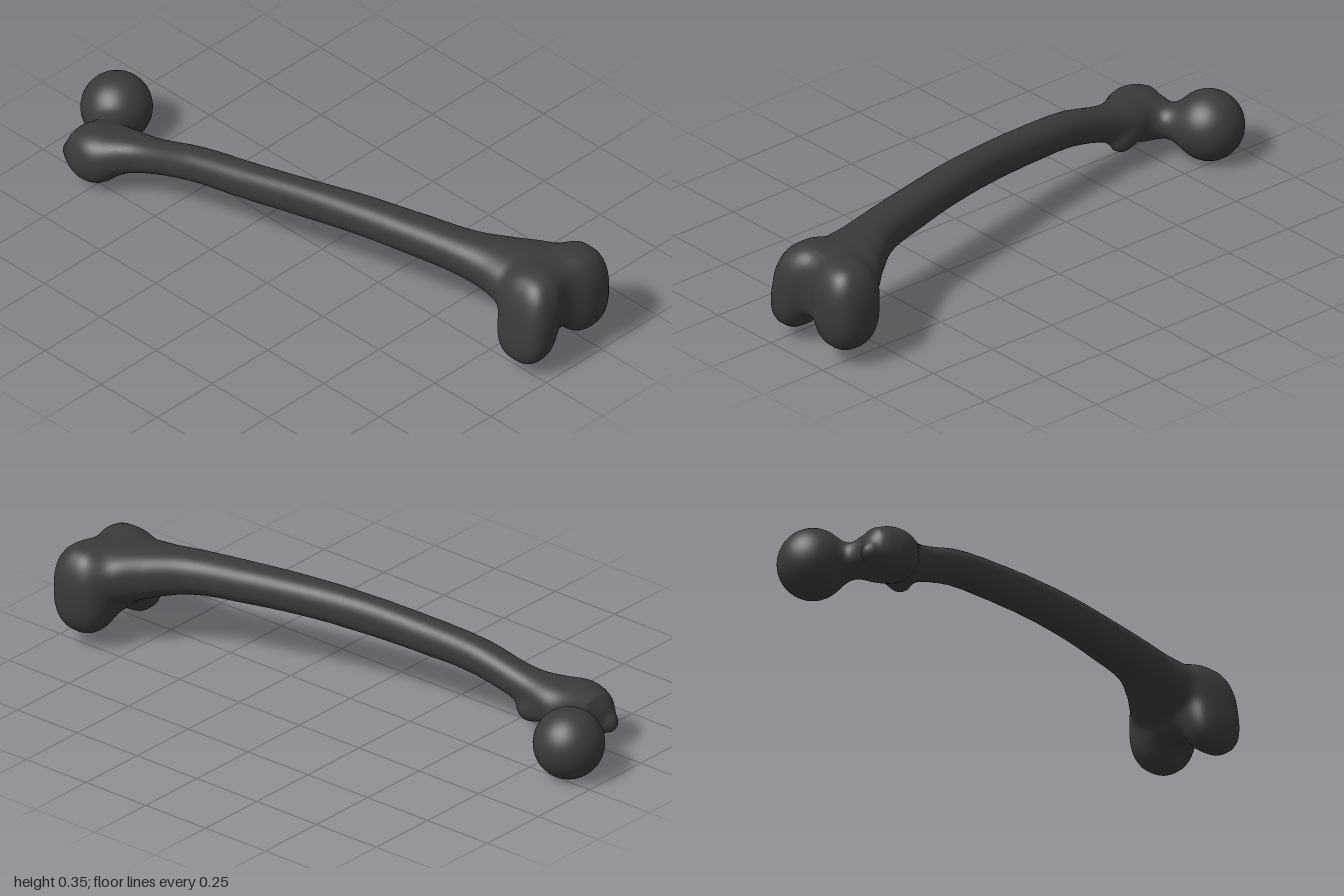
import * as THREE from 'three';

// Shaft sections: z, then left, right, bottom and top limits
const SECTIONS = [
  [-0.82, -0.29, -0.18, 0.07, 0.18],
  [-0.76, -0.32, -0.14, 0.045, 0.203],
  [-0.70, -0.31, -0.125, 0.06, 0.21],
  [-0.60, -0.255, -0.13, 0.10, 0.222],
  [-0.40, -0.222, -0.11, 0.16, 0.275],
  [-0.20, -0.19, -0.08, 0.182, 0.302],
  [0.00, -0.15, -0.04, 0.20, 0.325],
  [0.20, -0.11, 0.015, 0.215, 0.34],
  [0.40, -0.067, 0.07, 0.215, 0.345],
  [0.60, -0.025, 0.135, 0.205, 0.346],
  [0.70, -0.01, 0.205, 0.182, 0.346],
  [0.80, -0.01, 0.28, 0.15, 0.345],
  [0.90, 0.01, 0.27, 0.15, 0.335],
];
const limits = new THREE.CubicInterpolant(
  SECTIONS.map((s) => s[0]), SECTIONS.flatMap((s) => s.slice(1)), 4);

const hyp = (p, ...v) => v.reduce((sum, a) => sum + Math.abs(a) ** p, 0) ** (1 / p);

// Smooth union of two distances
function blend(a, b, k) {
  const h = Math.max(k - Math.abs(a - b), 0) / k;
  return Math.min(a, b) - h * h * k * 0.25;
}

// Rounded block: superellipsoid with an optional sideways lean
function blob(x, y, z, c, r, p = 2, lean = 0) {
  const dy = y - c[1];
  return (hyp(p, (x - c[0] - lean * dy) / r[0], dy / r[1], (z - c[2]) / r[2]) - 1) * Math.min(...r);
}

// Tapered round bar from a to b
function bar(x, y, z, a, b, ra, rb) {
  const d = [b[0] - a[0], b[1] - a[1], b[2] - a[2]];
  const q = [x - a[0], y - a[1], z - a[2]];
  const dot = q[0] * d[0] + q[1] * d[1] + q[2] * d[2];
  const t = THREE.MathUtils.clamp(dot / (d[0] ** 2 + d[1] ** 2 + d[2] ** 2), 0, 1);
  return Math.hypot(q[0] - d[0] * t, q[1] - d[1] * t, q[2] - d[2] * t) - ra + (ra - rb) * t;
}

function shaft(x, y, z) {
  const [x0, x1, y0, y1] = limits.evaluate(THREE.MathUtils.clamp(z, -0.82, 0.9));
  const rx = (x1 - x0) / 2, ry = (y1 - y0) / 2;
  const side = (hyp(2.3, (x - x0 - rx) / rx, (y - y0 - ry) / ry) - 1) * Math.min(rx, ry);
  return Math.max(side, -0.82 - z, z - 0.9);
}

// Signed distance of the whole bone, negative inside
function bone(x, y, z) {
  let d = shaft(x, y, z);
  if (z < -0.4) {
    // greater trochanter and its tip
    d = blend(d, blob(x, y, z, [-0.262, 0.112, -0.765], [0.074, 0.088, 0.095], 2.2), 0.03);
    d = blend(d, bar(x, y, z, [-0.27, 0.1, -0.78], [-0.268, 0.09, -0.85], 0.06, 0.032), 0.02);
    // lesser trochanter
    d = blend(d, blob(x, y, z, [-0.148, 0.1, -0.62], [0.026, 0.03, 0.045]), 0.03);
    // neck
    d = blend(d, bar(x, y, z, [-0.22, 0.122, -0.765], [-0.05, 0.12, -0.845], 0.06, 0.058), 0.04);
    // hollow behind the neck
    d = -blend(-d, blob(x, y, z, [-0.2, 0.02, -0.845], [0.04, 0.045, 0.045]), 0.04);
    // ball head
    d = blend(d, blob(x, y, z, [-0.035, 0.118, -0.884], [0.116, 0.117, 0.115]), 0.03);
  }
  if (z > 0.5) {
    // bridge between the condyles
    d = blend(d, blob(x, y, z, [0.13, 0.225, 0.87], [0.13, 0.122, 0.098], 2.8), 0.02);
    // lateral and medial condyles
    d = blend(d, blob(x, y, z, [0.032, 0.19, 0.892], [0.075, 0.15, 0.101], 2.7, 0.17), 0.025);
    d = blend(d, blob(x, y, z, [0.243, 0.2, 0.893], [0.096, 0.15, 0.101], 2.5), 0.025);
  }
  return d;
}

// Skin the bone on a regular grid: one vertex per crossed cell, one quad per crossed edge
function skin() {
  const cell = 0.0125, origin = [-0.375, -0.0375, -1.03], n = [61, 34, 166];
  const step = [1, n[0], n[0] * n[1]];
  const at = (i, a) => origin[a] + i * cell;
  const field = new Float32Array(n[0] * n[1] * n[2]);
  const eachCell = (from, visit) => {
    for (let k = from; k < n[2] - 1; k++)
      for (let j = from; j < n[1] - 1; j++)
        for (let i = from; i < n[0] - 1; i++) visit(i, j, k, i + j * step[1] + k * step[2]);
  };
  field.fill(1);
  eachCell(0, (i, j, k, id) => { field[id] = bone(at(i, 0), at(j, 1), at(k, 2)); });

  const positions = [], normals = [], vertexOf = new Int32Array(field.length).fill(-1);
  const corner = (c) => [c & 1, (c >> 1) & 1, c >> 2];
  eachCell(0, (i, j, k, id) => {
    const sum = [0, 0, 0];
    let count = 0;
    for (let c = 0; c < 8; c++)
      for (let a = 0; a < 3; a++) {
        const o = corner(c);
        if (o[a]) continue;
        const p = id + o[0] + o[1] * step[1] + o[2] * step[2];
        const f0 = field[p], f1 = field[p + step[a]];
        if ((f0 < 0) === (f1 < 0)) continue;
        o[a] = f0 / (f0 - f1);
        o.forEach((v, axis) => { sum[axis] += v; });
        count++;
      }
    if (!count) return;
    vertexOf[id] = positions.length / 3;
    const [x, y, z] = [i, j, k].map((v, a) => at(v + sum[a] / count, a));
    positions.push(x, y, z);
    const e = 0.006;
    const normal = new THREE.Vector3(
      bone(x + e, y, z) - bone(x - e, y, z),
      bone(x, y + e, z) - bone(x, y - e, z),
      bone(x, y, z + e) - bone(x, y, z - e)).normalize();
    normals.push(normal.x, normal.y, normal.z);
  });

  // faces sorted into the upper end, the shaft and the lower end
  const faces = [[], [], []];
  eachCell(1, (i, j, k, id) => {
    const z = at(k, 2), part = z < -0.58 ? 0 : z < 0.66 ? 1 : 2;
    for (let a = 0; a < 3; a++) {
      const inside = field[id] < 0;
      if (inside === field[id + step[a]] < 0) continue;
      const b = step[(a + 1) % 3], c = step[(a + 2) % 3];
      const q = [id, id - b, id - b - c, id - c].map((v) => vertexOf[v]);
      if (!inside) q.reverse();
      faces[part].push(q[0], q[1], q[2], q[0], q[2], q[3]);
    }
  });
  return faces.map((index) => {
    const geometry = new THREE.BufferGeometry();
    geometry.setAttribute('position', new THREE.Float32BufferAttribute(positions, 3));
    geometry.setAttribute('normal', new THREE.Float32BufferAttribute(normals, 3));
    geometry.setIndex(index);
    return geometry.toNonIndexed();
  });
}

export function createModel() {
  const group = new THREE.Group();
  group.name = 'thighBone';
  const material = new THREE.MeshStandardMaterial({ color: 0x3a3a3a });
  const names = ['headNeckAndTrochanters', 'shaft', 'condyles'];
  skin().forEach((geometry, i) => {
    const mesh = new THREE.Mesh(geometry, material);
    mesh.name = names[i];
    group.add(mesh);
  });
  return group;
}
